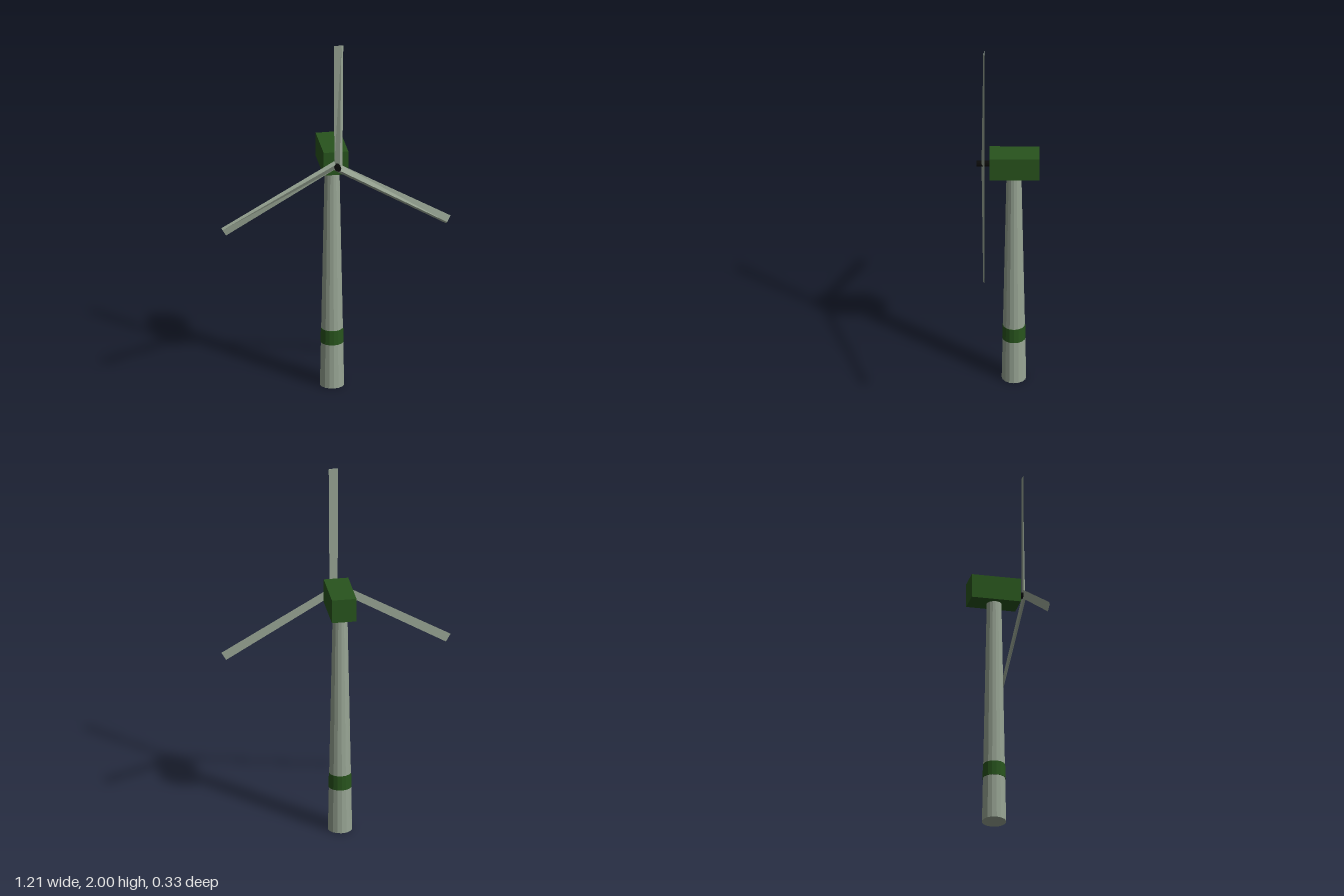
import * as THREE from 'three';

const mat = (color) => new THREE.MeshStandardMaterial({ color, flatShading: true });

function add(parent, name, geometry, material, x, y, z) {
  const mesh = new THREE.Mesh(geometry, material);
  mesh.name = name;
  mesh.position.set(x, y, z);
  parent.add(mesh);
  return mesh;
}

// Tapered blade with a triangular section: flat back, ridge near the leading edge
function bladeGeometry(length) {
  const root = [[-0.013, -0.007], [0.03, -0.007], [0.014, 0.008]];
  const tip = [[-0.016, -0.007], [0.034, -0.007], [0.023, -0.001]];
  const pos = [];
  for (const [x, z] of root) pos.push(x, 0, z);
  for (const [x, z] of tip) pos.push(x, length, z);
  const index = [0, 1, 2, 3, 5, 4];
  for (let i = 0; i < 3; i++) {
    const j = (i + 1) % 3;
    index.push(i, i + 3, j, j, i + 3, j + 3);
  }
  const g = new THREE.BufferGeometry();
  g.setAttribute('position', new THREE.Float32BufferAttribute(pos, 3));
  g.setIndex(index);
  const flat = g.toNonIndexed();
  flat.computeVertexNormals();
  return flat;
}

export function createModel() {
  const group = new THREE.Group();
  group.name = 'windTurbine';
  const pale = mat(0x98a594);
  const green = mat(0x28541d);
  const black = mat(0x0a0a0a);
  const cx = 0.003, hubY = 1.315, towerZ = -0.032;

  // Tower and painted band
  add(group, 'tower', new THREE.CylinderGeometry(0.039, 0.064, 1.25, 16), pale, cx, 0.625, towerZ);
  add(group, 'towerBand', new THREE.CylinderGeometry(0.059, 0.061, 0.08, 16), green, cx, 0.285, towerZ);

  // Nacelle
  add(group, 'nacelle', new THREE.BoxGeometry(0.13, 0.13, 0.262), green, cx, hubY, -0.035);

  // Rotor: hub shaft and three blades
  const rotor = new THREE.Group();
  rotor.name = 'rotor';
  rotor.position.set(cx, hubY, 0.129);
  group.add(rotor);
  const hub = new THREE.CylinderGeometry(0.0165, 0.0165, 0.07, 12).rotateX(Math.PI / 2);
  add(rotor, 'hub', hub, black, 0, 0, 0);
  const blade = bladeGeometry(0.685);
  for (let i = 0; i < 3; i++) {
    add(rotor, 'blade' + (i + 1), blade, pale, 0, 0, 0).rotation.z = (i * 2 * Math.PI) / 3;
  }
  return group;
}
